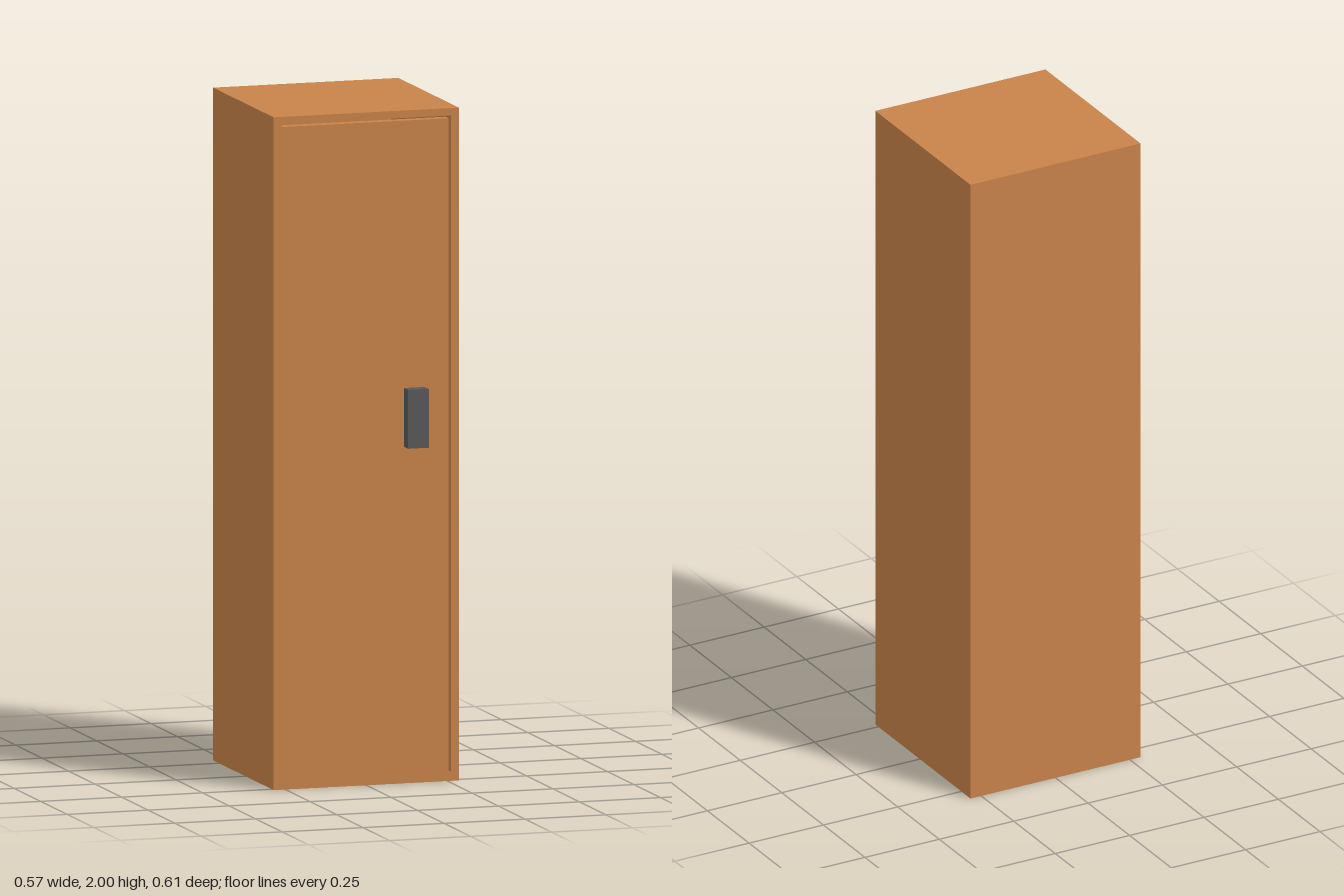
import * as THREE from 'three';

const wood = new THREE.MeshStandardMaterial({ color: 0xc8824a });
const metal = new THREE.MeshStandardMaterial({ color: 0x58585a });

// Box given by its lower and upper corners
function block(name, [x0, y0, z0], [x1, y1, z1], material) {
  const mesh = new THREE.Mesh(new THREE.BoxGeometry(x1 - x0, y1 - y0, z1 - z0), material);
  mesh.position.set((x0 + x1) / 2, (y0 + y1) / 2, (z0 + z1) / 2);
  mesh.name = name;
  return mesh;
}

function rectangle(Type, x0, y0, x1, y1) {
  return new Type([[x0, y0], [x1, y0], [x1, y1], [x0, y1]].map(([x, y]) => new THREE.Vector2(x, y)));
}

export function createModel() {
  const group = new THREE.Group();
  group.name = 'cabinet';

  const half = 0.286, height = 2, front = 0.267, back = -0.305;
  const backThickness = 0.005, doorThickness = 0.03, gap = 0.008;
  const open = { x0: -0.262, y0: 0.026, x1: 0.262, y1: 1.978 };

  // Carcass: four walls around the door opening
  const outline = rectangle(THREE.Shape, -half, 0, half, height);
  outline.holes.push(rectangle(THREE.Path, open.x0, open.y0, open.x1, open.y1));
  const walls = new THREE.ExtrudeGeometry(outline, {
    depth: front - back - backThickness, bevelEnabled: false,
  });
  walls.translate(0, 0, back + backThickness);
  const carcass = new THREE.Mesh(walls, wood);
  carcass.name = 'carcass';
  group.add(carcass);

  // Thin panel closing the back
  group.add(block('backPanel', [-half, 0, back], [half, height, back + backThickness], wood));

  // Flush door, with a narrow gap along its top and its handle side
  group.add(block('door', [open.x0, open.y0, front - doorThickness],
    [open.x1 - gap, open.y1 - gap, front], wood));

  // Block handle
  group.add(block('handle', [0.117, 1.0, front], [0.181, 1.175, 0.304], metal));

  return group;
}
